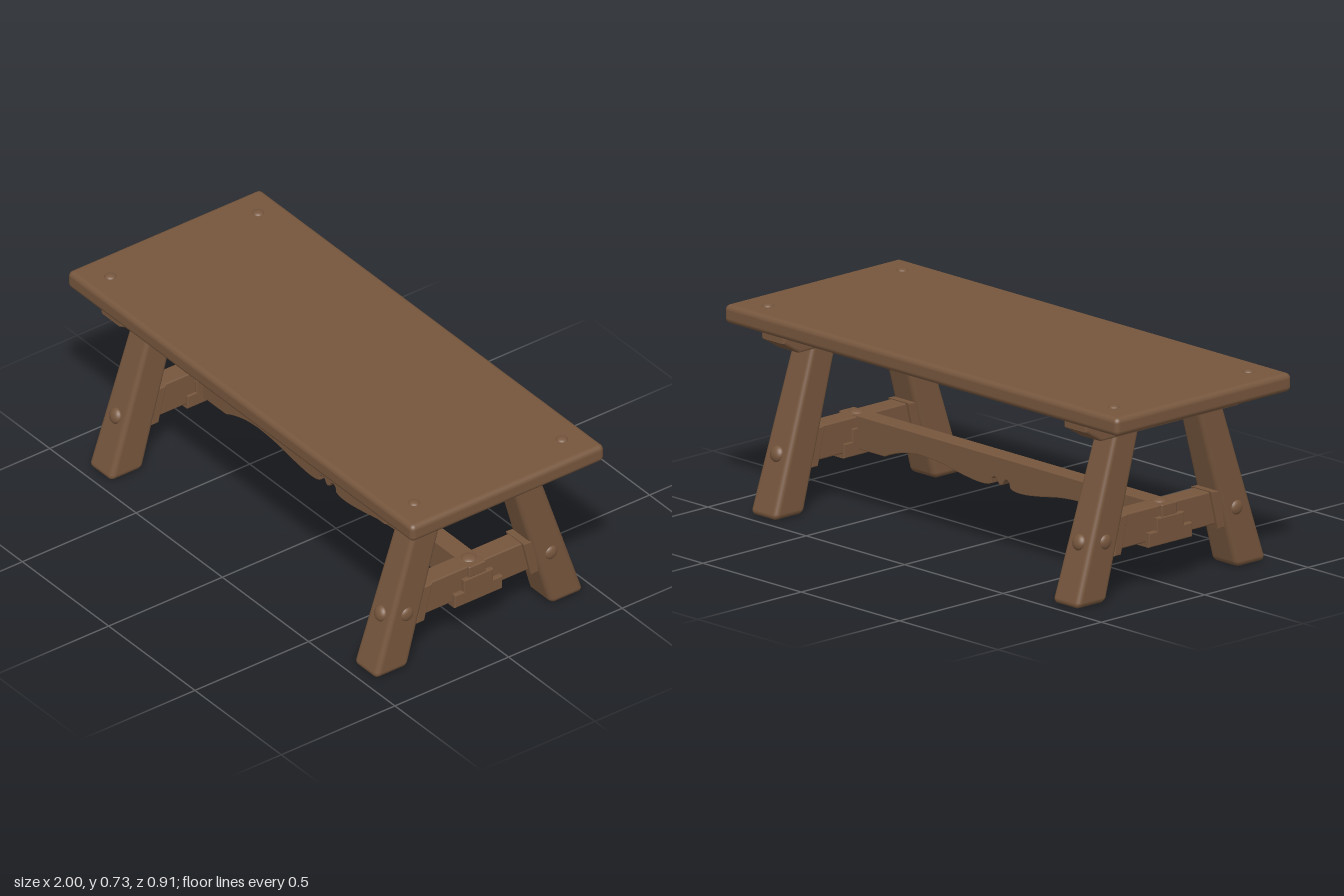
import * as THREE from 'three';
import { RoundedBoxGeometry } from 'three/addons/geometries/RoundedBoxGeometry.js';

const wood = new THREE.MeshStandardMaterial({ color: 0x76563d });
wood.name = 'brown wood';

function add(parent, name, geometry, x = 0, y = 0, z = 0) {
  const mesh = new THREE.Mesh(geometry, wood);
  mesh.name = name;
  mesh.position.set(x, y, z);
  parent.add(mesh);
  return mesh;
}

// Board cut from a shape, centred on its thickness, with softened edges
function board(shape, thickness, bevel = 0.005) {
  const g = new THREE.ExtrudeGeometry(shape, {
    depth: thickness - 2 * bevel, bevelEnabled: true, bevelThickness: bevel,
    bevelSize: bevel, bevelOffset: -bevel, bevelSegments: 2, curveSegments: 16,
  });
  return g.translate(0, 0, bevel - thickness / 2);
}

// Board whose outline is given as [z, y] and whose thickness runs along x
function crossBoard(points, thickness, bevel) {
  const shape = new THREE.Shape(points.map(([z, y]) => new THREE.Vector2(z, y)));
  return board(shape, thickness, bevel).rotateY(-Math.PI / 2);
}

// Flattened dome peg, pointing along +y
function dome(radius, height) {
  return new THREE.SphereGeometry(radius, 20, 8, 0, Math.PI * 2, 0, Math.PI / 2).scale(1, height / radius, 1);
}

// Splayed leg: a rounded post that tapers upwards and leans inwards
function legGeometry() {
  const height = 0.63;
  const g = new RoundedBoxGeometry(0.135, height, 0.145, 4, 0.022);
  g.translate(0, height / 2, 0);
  const p = g.attributes.position;
  for (let i = 0; i < p.count; i++) {
    const t = p.getY(i) / 0.59;
    p.setX(i, p.getX(i) * (1 - 0.2 * t));
    p.setZ(i, p.getZ(i) * (1 - 0.17 * t));
  }
  const lean = new THREE.Matrix4().set(1, 0, 0, 0, 0, 1, 0, 0, 0, -0.31, 1, 0.388, 0, 0, 0, 1);
  return g.applyMatrix4(lean);
}

// Leg with its pegs and the collar that holds the cross rail
function createLeg() {
  const leg = new THREE.Group();
  leg.name = 'legAssembly';
  add(leg, 'leg', legGeometry(), 0.768);
  add(leg, 'frontLegPeg', dome(0.03, 0.02), 0.768, 0.22, 0.385).rotation.x = 1.25;
  add(leg, 'sideLegPeg', dome(0.028, 0.016), 0.826, 0.22, 0.317).rotation.z = -Math.PI / 2;
  const collar = crossBoard([[0.235, 0.155], [0.268, 0.155], [0.25, 0.295], [0.2, 0.298]], 0.105, 0.004);
  add(leg, 'railCollar', collar, 0.77);
  return leg;
}

// One end of the table: batten, two legs, cross rail and stepped joint
function createEnd() {
  const end = new THREE.Group();
  end.name = 'trestleEnd';
  const batten = crossBoard([
    [-0.33, 0.588], [0.33, 0.588], [0.408, 0.635], [0.408, 0.665], [-0.408, 0.665], [-0.408, 0.635],
  ], 0.115, 0.008);
  add(end, 'topBatten', batten, 0.768);

  const front = createLeg();
  const back = createLeg();
  back.rotation.y = Math.PI;
  back.position.x = 2 * 0.768;
  // The back leg is turned round, so its side peg and collar swap to the outer side
  back.children.forEach((m) => {
    if (m.name === 'sideLegPeg') {
      m.position.x = 2 * 0.768 - m.position.x;
      m.rotation.z = Math.PI / 2;
    }
    if (m.name === 'railCollar') m.position.x = 2 * 0.768 - m.position.x;
  });
  end.add(front, back);

  add(end, 'crossRail', new RoundedBoxGeometry(0.08, 0.123, 0.6, 2, 0.006), 0.77, 0.233, 0);
  const step = crossBoard([
    [-0.105, 0.155], [0.105, 0.155], [0.105, 0.208], [0.065, 0.208],
    [0.065, 0.255], [-0.065, 0.255], [-0.065, 0.208], [-0.105, 0.208],
  ], 0.105, 0.004);
  add(end, 'steppedBlock', step, 0.775);
  add(end, 'tenon', new RoundedBoxGeometry(0.1, 0.045, 0.074, 2, 0.005), 0.772, 0.275, 0);
  add(end, 'tenonPeg', dome(0.031, 0.014), 0.77, 0.293, 0);
  return end;
}

// Long stretcher with a scalloped lower edge and a small carved notch
function stretcherGeometry() {
  const half = [
    [0.59, 0.177], [0.55, 0.194], [0.48, 0.213], [0.4, 0.22], [0.3, 0.213],
    [0.2, 0.196], [0.12, 0.186], [0.07, 0.187], [0.047, 0.195],
  ];
  const curve = new THREE.SplineCurve(half.map(([x, y]) => new THREE.Vector2(x, y))).getPoints(36);
  const notch = [[0.045, 0.212], [0.036, 0.221], [0.024, 0.221], [0.016, 0.212], [0.01, 0.201]]
    .map(([x, y]) => new THREE.Vector2(x, y));
  const right = [new THREE.Vector2(0.75, 0.298), new THREE.Vector2(0.75, 0.177), ...curve, ...notch];
  const left = right.map((v) => new THREE.Vector2(-v.x, v.y)).reverse();
  return board(new THREE.Shape([...right, new THREE.Vector2(0, 0.196), ...left]), 0.074, 0.003);
}

export function createModel() {
  const table = new THREE.Group();
  table.name = 'trestleTable';

  add(table, 'tableTop', new RoundedBoxGeometry(2, 0.068, 0.85, 4, 0.02), 0, 0.691, 0);
  for (const x of [-0.88, 0.88]) {
    for (const z of [-0.325, 0.325]) add(table, 'topPeg', dome(0.022, 0.011), x, 0.723, z);
  }

  const leftEnd = createEnd();
  const rightEnd = createEnd();
  rightEnd.rotation.y = Math.PI;
  table.add(leftEnd, rightEnd);

  add(table, 'longStretcher', stretcherGeometry());
  return table;
}
